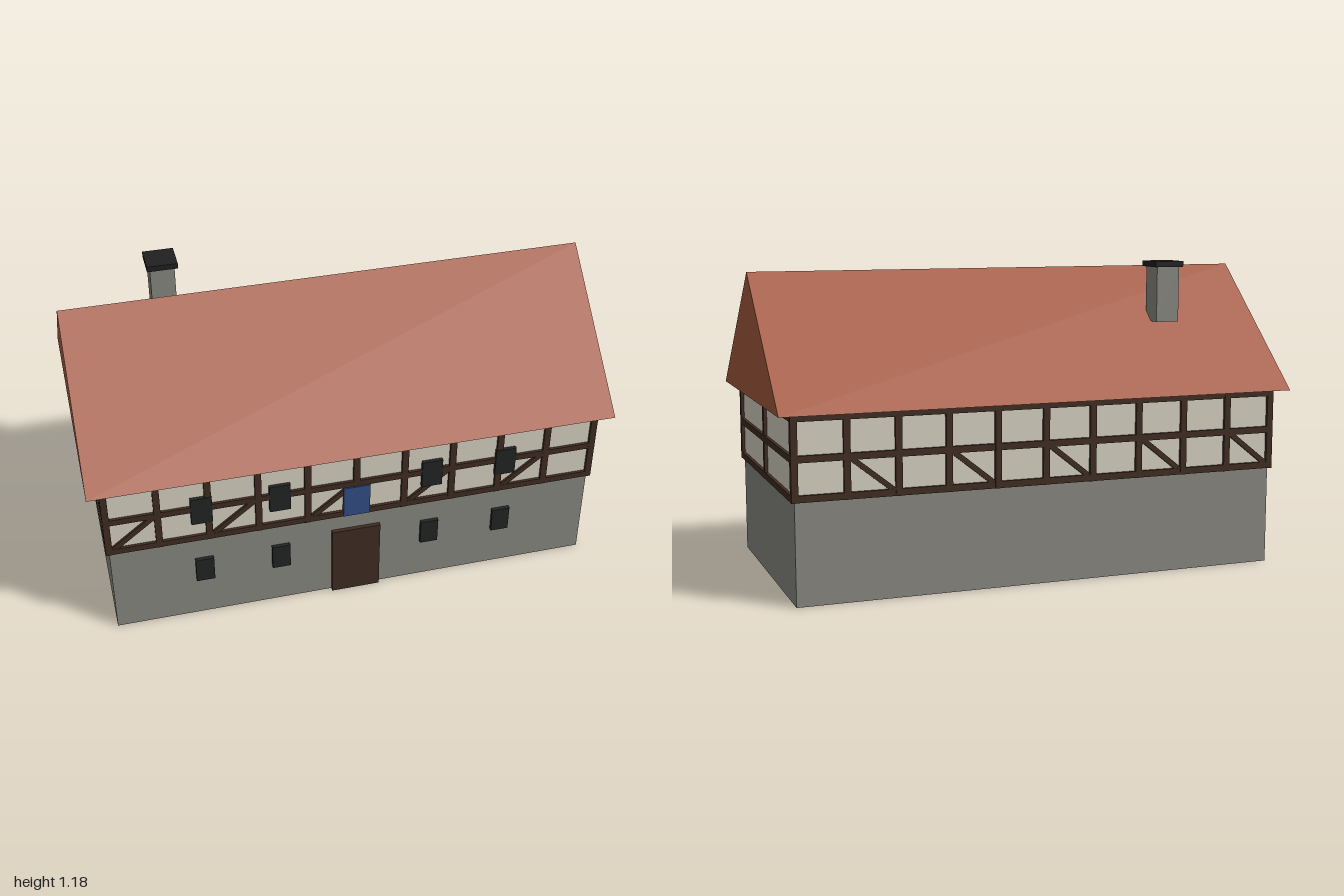
import * as THREE from 'three';

const mat = (name, color) => {
  const m = new THREE.MeshStandardMaterial({ color });
  m.name = name;
  return m;
};

export function createModel() {
  const house = new THREE.Group();
  house.name = 'timberFramedHouse';

  const stone = mat('stone', 0x8a8982);
  const plaster = mat('plaster', 0xd8d3c4);
  const timber = mat('timber', 0x402d22);
  const tile = mat('roofTile', 0xa65a40);
  const dark = mat('darkGlass', 0x222525);
  const blue = mat('bluePanel', 0x344e88);
  const capMat = mat('chimneyCap', 0x202020);

  const group = (name) => {
    const g = new THREE.Group();
    g.name = name;
    house.add(g);
    return g;
  };
  // Box given by its centre and size
  const box = (parent, name, material, [x, y, z], [w, h, d]) => {
    const mesh = new THREE.Mesh(new THREE.BoxGeometry(w, h, d), material);
    mesh.name = name;
    mesh.position.set(x, y, z);
    parent.add(mesh);
    return mesh;
  };

  // Walls: stone ground floor and plastered upper floor
  const X = 0.94, Z = 0.47, FLOOR = 0.38, EAVES = 0.685;
  box(house, 'stoneGroundFloor', stone, [0, FLOOR / 2, 0], [2 * X, FLOOR, 2 * Z]);
  box(house, 'plasterUpperFloor', plaster, [0, (FLOOR + EAVES) / 2, 0], [2 * X, EAVES - FLOOR, 2 * Z]);

  // Timber frame
  const T = 0.025, BAYS = 10, bay = (2 * X) / BAYS;
  const railHeights = [0.388, 0.528, 0.672];
  const frame = group('timberFrame');
  const postY = (0.375 + EAVES) / 2, postH = EAVES - 0.375;
  for (const s of [1, -1]) {
    for (let i = 0; i <= BAYS; i++) {
      box(frame, 'longWallPost', timber, [-X + i * bay, postY, s * Z], [T, postH, 0.023]);
    }
    box(frame, 'gableWallPost', timber, [s * X, postY, 0], [T, postH, T]);
    for (const y of railHeights) {
      box(frame, 'longWallRail', timber, [0, y, s * Z], [2 * X + T, T, 0.022]);
      box(frame, 'gableWallRail', timber, [s * X, y, 0], [0.024, T, 2 * Z + 0.02]);
    }
    // Diagonal braces in the lower half of every second bay
    const dx = bay - T, dy = railHeights[1] - railHeights[0] - 0.01;
    for (let i = 0; i < BAYS; i += 2) {
      const brace = box(frame, 'brace', timber,
        [-X + (i + 0.5) * bay, (railHeights[0] + railHeights[1]) / 2, s * Z],
        [Math.hypot(dx, dy), 0.02, 0.02]);
      brace.rotation.z = Math.atan2(dy, dx);
    }
  }

  // Front openings
  const windows = group('windows');
  for (const x of [-0.59, -0.295, 0.295, 0.588]) {
    box(windows, 'upperWindow', dark, [x, 0.519, 0.477], [0.08, 0.118, 0.015]);
    box(windows, 'lowerWindow', dark, [x, 0.227, 0.477], [0.07, 0.104, 0.016]);
  }
  box(house, 'door', timber, [0, 0.1525, 0.477], [0.19, 0.305, 0.018]);
  box(house, 'bluePanelAboveDoor', blue, [0, 0.447, 0.477], [0.103, 0.136, 0.018]);

  // Closed gable roof
  const profile = new THREE.Shape();
  profile.moveTo(-0.525, EAVES);
  profile.lineTo(0.525, EAVES);
  profile.lineTo(0, 1.152);
  profile.closePath();
  const roofGeo = new THREE.ExtrudeGeometry(profile, { depth: 2, bevelEnabled: false });
  roofGeo.translate(0, 0, -1).rotateY(Math.PI / 2);
  const roof = new THREE.Mesh(roofGeo, tile);
  roof.name = 'roof';
  house.add(roof);

  // Chimney on the rear slope
  const chimney = group('chimney');
  box(chimney, 'chimneyStack', stone, [-0.588, 1.052, -0.235], [0.094, 0.216, 0.094]);
  box(chimney, 'chimneyTop', capMat, [-0.588, 1.168, -0.235], [0.118, 0.022, 0.118]);

  return house;
}
